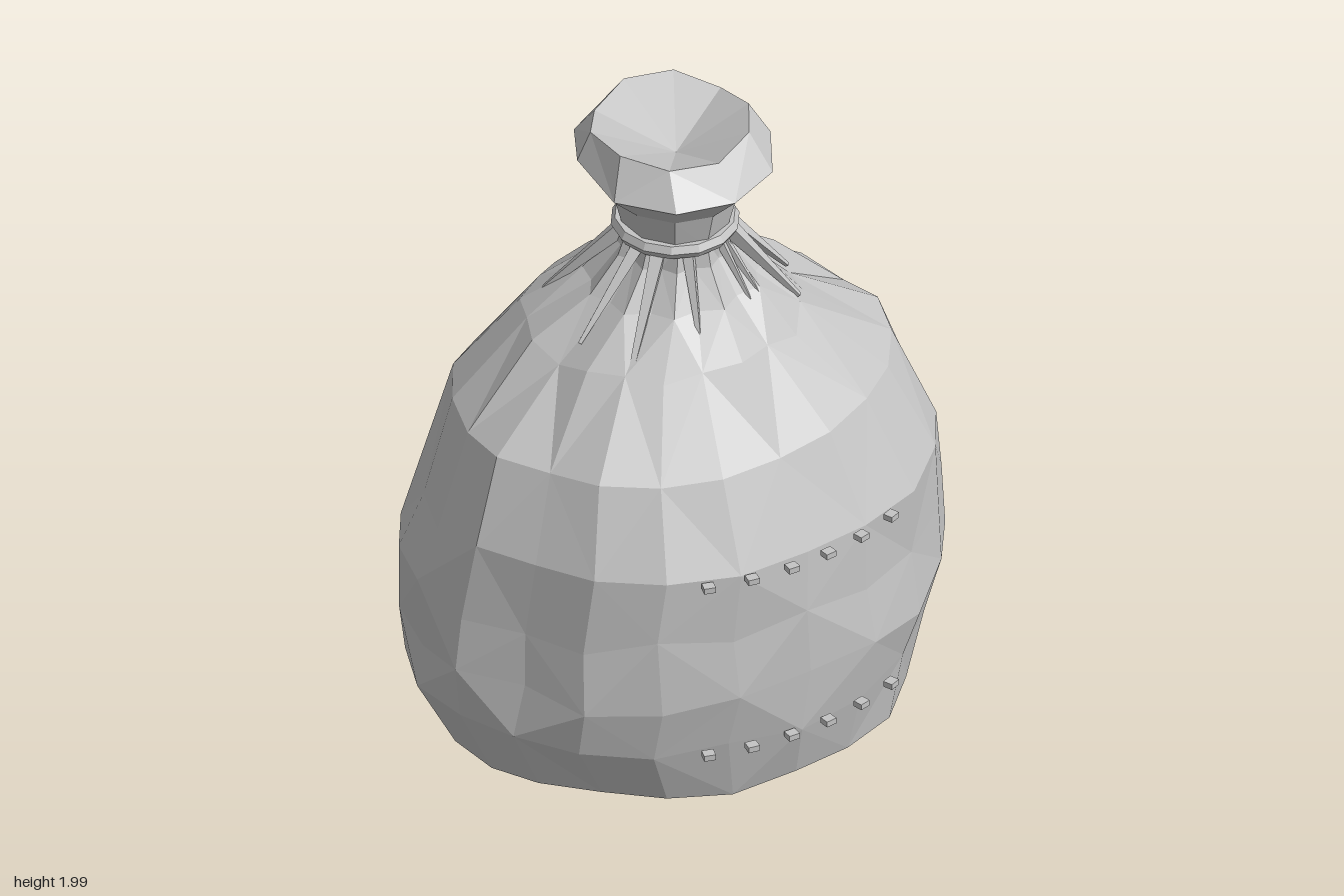
import * as THREE from 'three';

// small repeatable noise in -1..1
let seed = 7;
const noise = () => {
  seed = (seed * 16807) % 2147483647;
  return (seed / 2147483647) * 2 - 1;
};

// faceted copy of a geometry
function facet(geometry) {
  const g = geometry.index ? geometry.toNonIndexed() : geometry;
  g.computeVertexNormals();
  return g;
}

// skin over closed rings of points (bottom to top), with a fan to a centre point at either end
function skin(rings, bottom, top) {
  const n = rings[0].length, pts = [];
  const tri = (...corners) => corners.forEach((p) => pts.push(...p));
  const last = rings[rings.length - 1];
  for (let i = 0; i < n; i++) {
    const k = (i + 1) % n;
    for (let r = 0; r < rings.length - 1; r++) {
      const a = rings[r][i], b = rings[r][k], c = rings[r + 1][k], d = rings[r + 1][i];
      if ((i + r) % 2) { tri(a, b, d); tri(b, c, d); } else { tri(a, c, d); tri(a, b, c); }
    }
    if (bottom) tri(bottom, rings[0][k], rings[0][i]);
    if (top) tri(top, last[i], last[k]);
  }
  const g = new THREE.BufferGeometry();
  g.setAttribute('position', new THREE.Float32BufferAttribute(pts, 3));
  return facet(g);
}

// ring inside the limits [y, xMin, xMax, zMin, zMax]; angle 0 points to +z, turning to +x
function ring([y, x0, x1, z0, z1], n, shape) {
  return Array.from({ length: n }, (_, i) => {
    const a = (i / n) * Math.PI * 2;
    const [k, dy] = shape(i, a);
    return [
      (x0 + x1) / 2 + ((x1 - x0) / 2) * k * Math.sin(a),
      y + dy,
      (z0 + z1) / 2 + ((z1 - z0) / 2) * k * Math.cos(a),
    ];
  });
}

export function createModel() {
  const group = new THREE.Group();
  const cloth = new THREE.MeshStandardMaterial({ color: 0xc4c4c4 });
  cloth.name = 'grey cloth';
  const add = (name, geometry) => {
    const mesh = new THREE.Mesh(geometry, cloth);
    mesh.name = name;
    group.add(mesh);
    return mesh;
  };

  // sack: lumpy below, pleated toward the neck
  const levels = [
    [0.025, -0.53, 0.56, -0.48, 0.41],
    [0.12, -0.71, 0.69, -0.59, 0.6],
    [0.31, -0.82, 0.77, -0.67, 0.64],
    [0.48, -0.82, 0.82, -0.68, 0.67],
    [0.68, -0.82, 0.8, -0.67, 0.65],
    [0.88, -0.77, 0.78, -0.64, 0.645],
    [1.15, -0.66, 0.65, -0.55, 0.52],
    [1.37, -0.43, 0.39, -0.4, 0.34],
    [1.5, -0.26, 0.25, -0.23, 0.23],
    [1.6, -0.17, 0.17, -0.17, 0.16],
    [1.68, -0.15, 0.15, -0.16, 0.15],
  ];
  const pleat = [0, 0, 0, 0, 0, 0, 0, 0.02, 0.05, 0.07, 0];
  const rings = levels.map((level, r) => ring(level, 22, (i, a) => {
    let k = 1 + noise() * (r > 8 ? 0.01 : 0.018) + pleat[r] * (i % 2 ? -1 : 1);
    // sunken fold on the front right corner
    if (r > 2 && r < 7 && Math.abs(a - 5.14) < 0.15) k -= 0.06;
    return [k, r === 0 ? noise() * 0.02 : r < 8 ? noise() * 0.025 : 0];
  }));
  add('sack', skin(rings, [0, 0.04, 0], null));

  // flared mouth with a sunken centre
  const mouth = [
    [1.66, -0.15, 0.15, -0.16, 0.15],
    [1.78, -0.18, 0.18, -0.19, 0.18],
    [1.9, -0.28, 0.29, -0.32, 0.29],
    [1.985, -0.23, 0.24, -0.26, 0.2],
  ].map((level, r) => ring(level, 10, (i) => [
    1 + (r > 1 ? noise() * 0.03 : 0),
    r === 3 ? (i % 3 ? 0.015 : -0.01) : r === 2 ? noise() * 0.02 : 0,
  ]));
  add('mouth', skin(mouth, null, [0, 1.9, 0]));

  // cord around the neck
  const cord = new THREE.TorusGeometry(0.16, 0.024, 6, 14);
  cord.rotateX(Math.PI / 2);
  add('cord', facet(cord)).position.set(0, 1.67, -0.005);

  // gathered folds: tapering wedges from the cord down to a tip on the cloth [x, y, z, width]
  const folds = [
    [-0.31, 1.36, 0.21, 0.028], [-0.1, 1.42, 0.26, 0.022], [0.1, 1.48, 0.22, 0.016],
    [0.14, 1.47, 0.22, 0.016], [0.29, 1.4, 0.19, 0.028], [0.4, 1.28, -0.34, 0.035],
    [0.19, 1.42, -0.29, 0.03], [-0.29, 1.41, -0.24, 0.03], [-0.36, 1.41, 0.04, 0.025],
    [0.34, 1.41, 0.06, 0.025],
  ];
  folds.forEach(([x, y, z, w]) => {
    const tip = new THREE.Vector3(x, y, z);
    const top = new THREE.Vector3(x, 0, z).setLength(0.14).setY(1.65);
    const wedge = new THREE.CylinderGeometry(w, w * 0.3, tip.distanceTo(top), 4);
    const mesh = add('fold', facet(wedge));
    mesh.position.copy(tip).lerp(top, 0.5);
    mesh.quaternion.setFromUnitVectors(new THREE.Vector3(0, 1, 0), top.sub(tip).normalize());
  });

  // two rows of small stitches across the front
  for (const y of [0.88, 0.305]) {
    for (let i = 0; i < 6; i++) {
      const x = -0.32 + i * 0.125;
      const stitch = add('stitch', new THREE.BoxGeometry(0.034, 0.018, 0.03));
      stitch.position.set(x, y, 0.665 * Math.sqrt(1 - (x / 0.8) ** 2) + 0.004);
      stitch.rotation.y = x * 1.1;
    }
  }
  return group;
}
